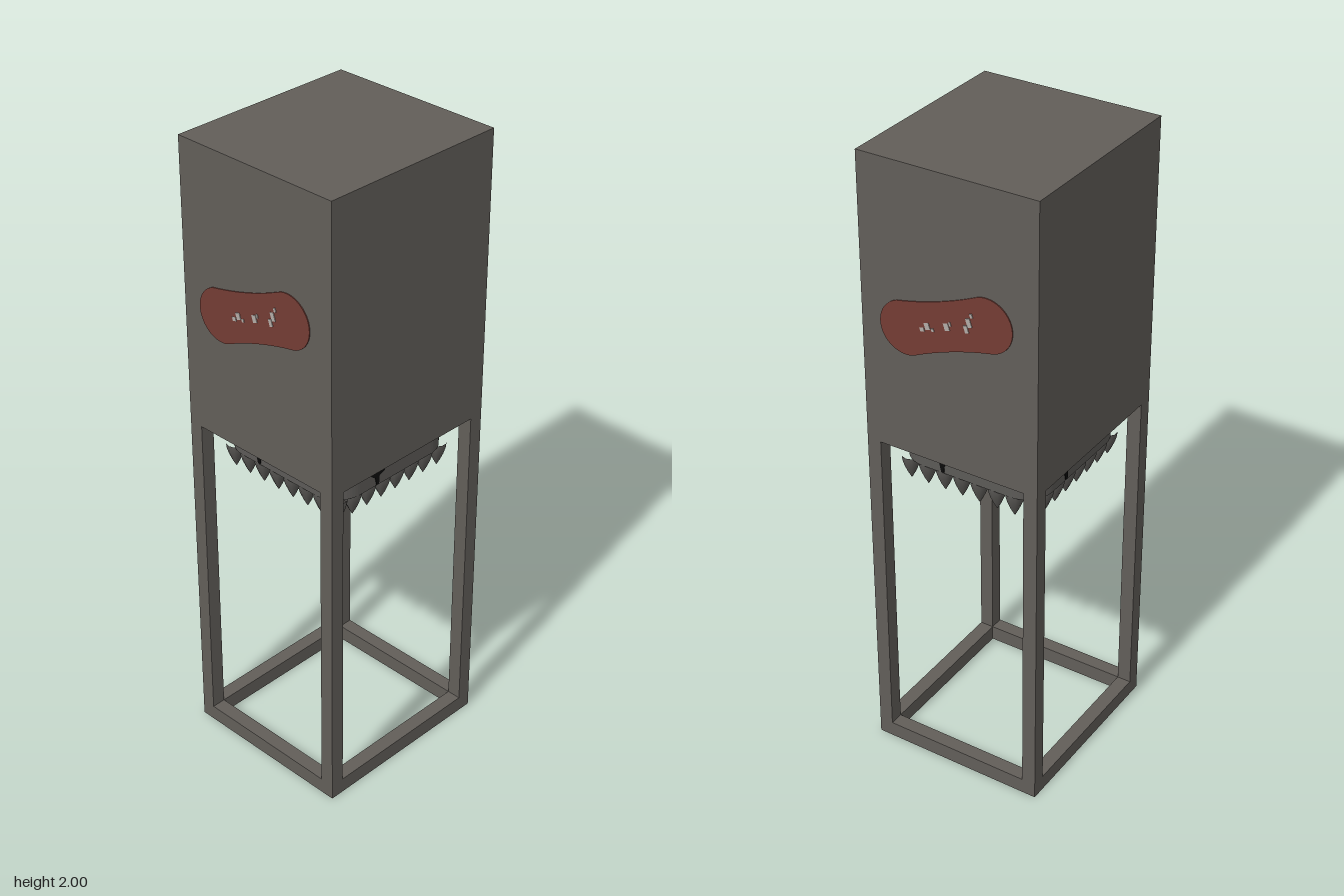
import * as THREE from 'three';

const mat = (name, color) => {
  const m = new THREE.MeshStandardMaterial({ color });
  m.name = name;
  return m;
};

// rectangle outline with optional rounded corners
function rect(path, hx, hz, r = 0) {
  if (!r) {
    path.moveTo(-hx, -hz).lineTo(hx, -hz).lineTo(hx, hz).lineTo(-hx, hz).closePath();
  } else {
    path.absarc(hx - r, hz - r, r, 0, Math.PI / 2);
    path.absarc(-hx + r, hz - r, r, Math.PI / 2, Math.PI);
    path.absarc(-hx + r, -hz + r, r, Math.PI, Math.PI * 1.5);
    path.absarc(hx - r, -hz + r, r, Math.PI * 1.5, Math.PI * 2);
    path.closePath();
  }
  return path;
}

// extrudes a floor-plan shape upward from y0 to y1
function slab(shape, y0, y1) {
  const g = new THREE.ExtrudeGeometry(shape, { depth: y1 - y0, bevelEnabled: false, curveSegments: 8 });
  return g.rotateX(-Math.PI / 2).translate(0, y0, 0);
}

export function createModel() {
  const model = new THREE.Group();
  model.name = 'spikedCrusher';
  const stone = mat('darkStone', 0x625e59);
  const iron = mat('iron', 0x5c5a57);
  const red = mat('signRed', 0x743c34);
  const pale = mat('paleFlecks', 0xb3aca7);
  const black = mat('blackStain', 0x0b0b0b);

  const add = (parent, name, geometry, material, x = 0, y = 0, z = 0) => {
    const mesh = new THREE.Mesh(geometry, material);
    mesh.name = name;
    mesh.position.set(x, y, z);
    parent.add(mesh);
    return mesh;
  };

  const HX = 0.286, HZ = 0.31, T = 0.045, OPEN = 1.1, CEIL = 1.26;
  const ring = () => {
    const s = rect(new THREE.Shape(), HX, HZ);
    s.holes.push(rect(new THREE.Path(), HX - T, HZ - T));
    return s;
  };

  // tall housing, hollow at its lower end
  add(model, 'housing', new THREE.BoxGeometry(HX * 2, 2 - CEIL, HZ * 2), stone, 0, (2 + CEIL) / 2, 0);
  add(model, 'housingRim', slab(ring(), OPEN, CEIL), stone);

  // open frame below
  add(model, 'baseFrame', slab(ring(), 0, 0.05), stone);
  for (const sx of [-1, 1]) for (const sz of [-1, 1]) {
    add(model, 'cornerPost', new THREE.BoxGeometry(T, OPEN - 0.05, T), stone,
      sx * (HX - T / 2), (OPEN + 0.05) / 2, sz * (HZ - T / 2));
  }

  // crushing head with rounded corners
  const head = new THREE.Group();
  head.name = 'crusherHead';
  model.add(head);
  const HEAD = 0.238;
  add(head, 'headPlate', slab(rect(new THREE.Shape(), HEAD, HEAD, 0.09), 1.012, 1.17), iron);
  add(head, 'piston', new THREE.CylinderGeometry(0.1, 0.1, CEIL - 1.17, 16), iron, 0, (CEIL + 1.17) / 2, 0);

  // ragged dark stains on the four sides of the head
  const stain = new THREE.Shape([
    [-0.148, 1.169], [-0.148, 1.065], [-0.11, 1.068], [-0.1, 1.048], [-0.088, 1.042], [-0.082, 1.015],
    [-0.072, 1.016], [-0.07, 1.042], [-0.05, 1.05], [-0.04, 1.066], [0.03, 1.062], [0.12, 1.064],
    [0.128, 1.074], [0.148, 1.076], [0.148, 1.169],
  ].map(([x, y]) => new THREE.Vector2(x, y)));
  const stainGeo = new THREE.ExtrudeGeometry(stain, { depth: 0.002, bevelEnabled: false });
  stainGeo.translate(0, 0, HEAD);
  for (let i = 0; i < 4; i++) add(head, 'stain', stainGeo, black).rotation.y = i * Math.PI / 2;

  // grid of pointed teeth under the head
  const profile = [[0.001, 0.935], [0.012, 0.956], [0.022, 0.98], [0.028, 1.0], [0.029, 1.014]]
    .map(([x, y]) => new THREE.Vector2(x, y));
  const tooth = new THREE.LatheGeometry(profile, 10);
  const N = 8, PITCH = 0.0595;
  for (let i = 0; i < N; i++) for (let j = 0; j < N; j++) {
    add(head, 'tooth', tooth, iron, (i - (N - 1) / 2) * PITCH, 0, (j - (N - 1) / 2) * PITCH);
  }

  // slanted signs on front and back
  const R = 0.083, L = 0.139;
  const capsule = new THREE.Shape();
  capsule.absarc(L, 0, R, -Math.PI / 2, Math.PI / 2);
  capsule.quadraticCurveTo(0, R - 0.018, -L, R);
  capsule.absarc(-L, 0, R, Math.PI / 2, Math.PI * 1.5);
  capsule.quadraticCurveTo(0, -R + 0.018, L, -R);
  const signGeo = new THREE.ExtrudeGeometry(capsule, { depth: 0.003, bevelEnabled: false, curveSegments: 16 });
  // fleck centres and sizes along the sign
  const flecks = [
    [-0.08, -0.005, 0.014, 0.012], [-0.06, 0.004, 0.016, 0.02], [-0.045, -0.008, 0.008, 0.01],
    [0.006, 0, 0.016, 0.022], [0.02, 0.008, 0.006, 0.012],
    [0.07, -0.008, 0.012, 0.022], [0.085, 0.01, 0.014, 0.026], [0.1, 0.03, 0.008, 0.012],
  ];
  for (const turn of [0, Math.PI]) {
    const side = new THREE.Group();
    side.name = turn ? 'backSign' : 'frontSign';
    side.rotation.y = turn;
    model.add(side);
    const sign = new THREE.Group();
    sign.name = 'signPlate';
    sign.position.set(-0.008, 1.55, HZ);
    sign.rotation.z = 0.32;
    side.add(sign);
    add(sign, 'signPanel', signGeo, red);
    for (const [x, y, w, h] of flecks) add(sign, 'fleck', new THREE.BoxGeometry(w, h, 0.002), pale, x, y, 0.004);
  }
  return model;
}
